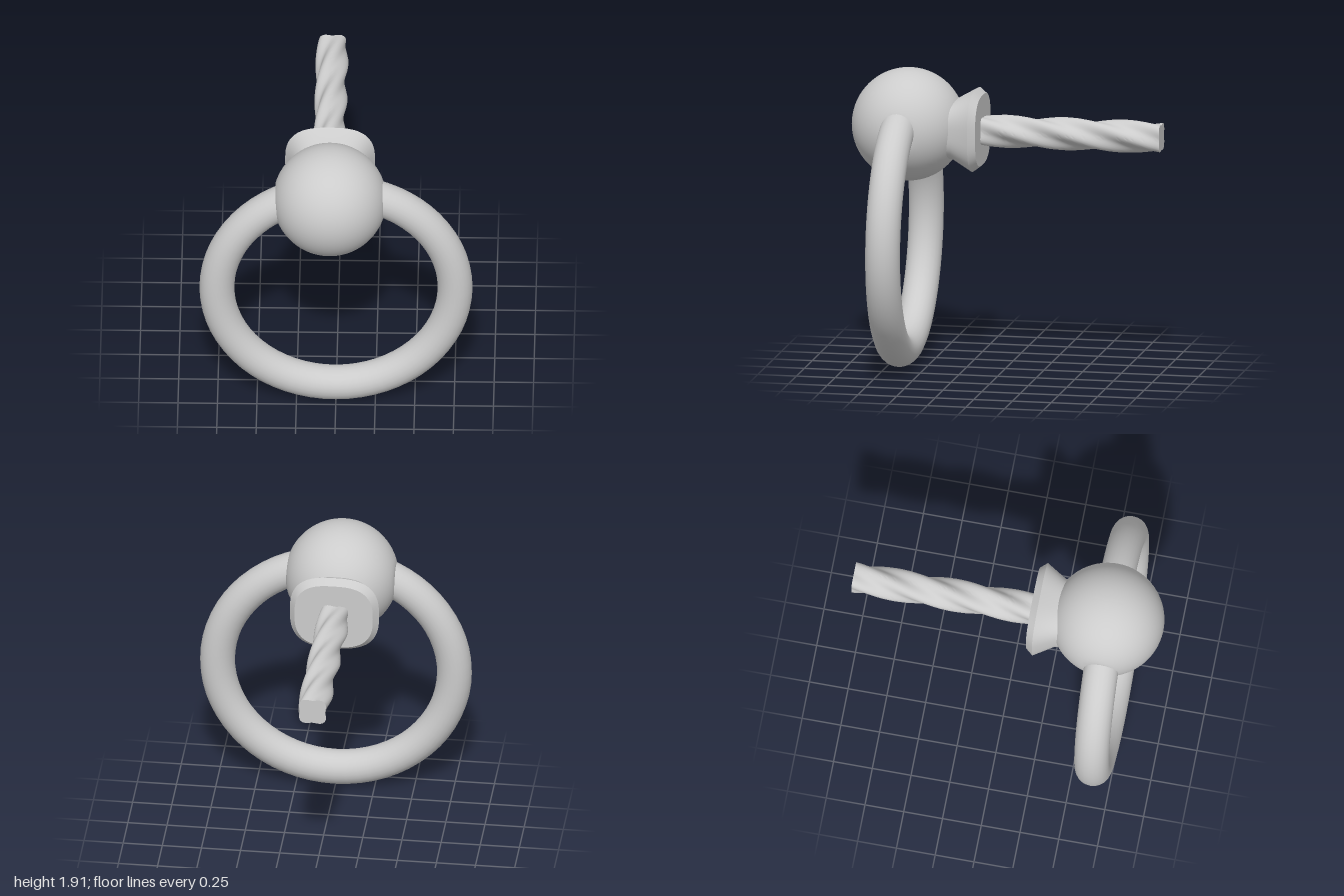
import * as THREE from 'three';
import { toCreasedNormals } from 'three/addons/utils/BufferGeometryUtils.js';

const material = new THREE.MeshStandardMaterial({ color: 0xcccccc });

function part(name, geometry, x = 0, y = 0, z = 0) {
  const mesh = new THREE.Mesh(geometry, material);
  mesh.name = name;
  mesh.position.set(x, y, z);
  return mesh;
}

// Closed solid lofted along z (front to back): point(i, angle) gives [x, y, z]
function loft(rows, sides, point) {
  const pos = [], index = [];
  for (let i = 0; i < rows; i++)
    for (let j = 0; j < sides; j++) pos.push(...point(i, (j / sides) * Math.PI * 2));
  for (let i = 0; i < rows - 1; i++)
    for (let j = 0; j < sides; j++) {
      const k = (j + 1) % sides;
      const a = i * sides + j, b = i * sides + k, c = a + sides, d = b + sides;
      index.push(a, c, b, b, c, d);
    }
  // End caps
  const front = pos.length / 3, last = (rows - 1) * sides;
  pos.push(0, 0, point(0, 0)[2], 0, 0, point(rows - 1, 0)[2]);
  for (let j = 0; j < sides; j++) {
    const k = (j + 1) % sides;
    index.push(front, j, k, front + 1, last + k, last + j);
  }
  const g = new THREE.BufferGeometry();
  g.setAttribute('position', new THREE.Float32BufferAttribute(pos, 3));
  g.setIndex(index);
  return toCreasedNormals(g, 0.6);
}

export function createModel() {
  const model = new THREE.Group();

  // Hanging ring, turned very slightly
  const ring = part('ring', new THREE.TorusGeometry(0.755, 0.111, 24, 64), 0, 0.866, 0.653);
  ring.rotation.set(-0.008, 0.017, 0);
  model.add(ring);

  // Ball with its two sides flattened where the ring passes through
  const ball = new THREE.SphereGeometry(0.36, 64, 40);
  const p = ball.attributes.position;
  for (let i = 0; i < p.count; i++) p.setX(i, THREE.MathUtils.clamp(p.getX(i), -0.345, 0.345));
  ball.computeVertexNormals();
  model.add(part('ball', toCreasedNormals(ball, 0.6), -0.04, 1.55, 0.635));

  // Flared collar with a rounded-square outline: [z, half width, half height]
  const profile = [[0.4, 0.2, 0.18], [0.33, 0.21, 0.187], [0.2, 0.285, 0.26], [0.155, 0.25, 0.225]];
  const squircle = (v) => Math.sign(v) * Math.abs(v) ** (2 / 2.8);
  model.add(part('collar', loft(profile.length, 64, (i, a) => {
    const [z, w, h] = profile[i];
    return [w * squircle(Math.cos(a)), h * squircle(Math.sin(a)), z];
  }), -0.045, 1.53, 0));

  // Twisted square shank
  const rows = 70;
  model.add(part('twistedShank', loft(rows, 48, (i, a) => {
    const z = 0.2 - (1.2 * i) / (rows - 1);
    const twist = ((z + 0.43) / 0.38) * (Math.PI / 2);
    const r = 0.093 + 0.012 * Math.cos(4 * a);
    return [r * Math.cos(a + twist), r * Math.sin(a + twist), z];
  }), -0.05, 1.525, 0));

  return model;
}
